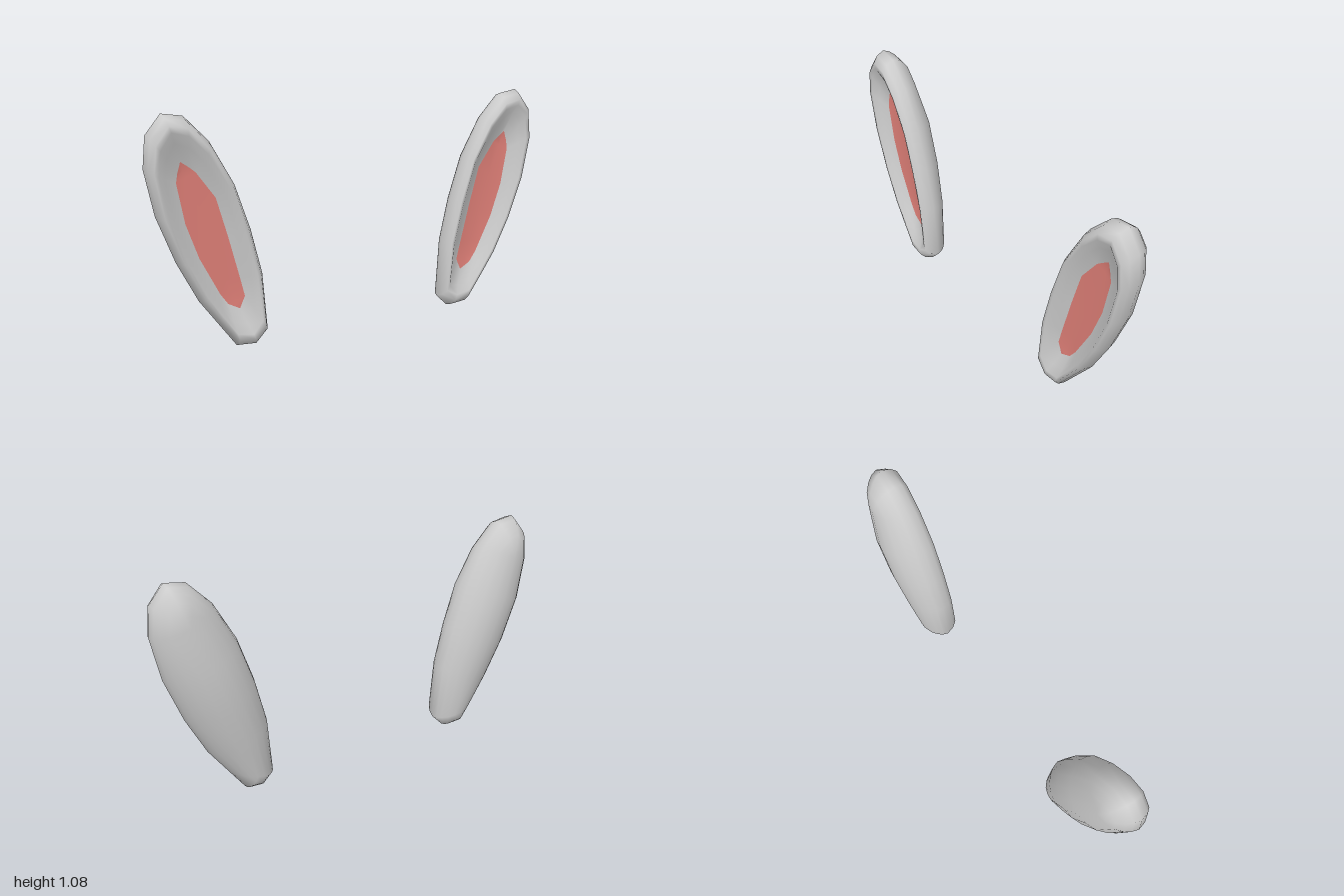
import * as THREE from 'three';
import { mergeVertices } from 'three/addons/utils/BufferGeometryUtils.js';

// Outer edge and inner patch of one ear as [x, y]; each side runs from base to tip
const OUTER = {
  near: [[0.53, 0.005], [0.47, 0.065], [0.49, 0.35], [0.54, 0.56], [0.61, 0.77], [0.71, 0.955], [0.82, 1.07]],
  far: [[0.615, 0.01], [0.70, 0.13], [0.785, 0.25], [0.88, 0.44], [0.96, 0.655], [1.0, 0.86], [0.985, 1.0]],
  tip: [0.915, 1.085],
};
const INNER = {
  near: [[0.60, 0.19], [0.575, 0.245], [0.595, 0.33], [0.645, 0.53], [0.695, 0.71], [0.78, 0.83], [0.81, 0.855]],
  far: [[0.655, 0.22], [0.69, 0.27], [0.72, 0.33], [0.78, 0.45], [0.835, 0.61], [0.867, 0.79], [0.86, 0.83]],
  tip: [0.845, 0.88],
};
const EDGE_Z = 0.035;

const loop = (o) => [...o.far, o.tip, ...[...o.near].reverse()];
const mix = (a, b, t) => a + (b - a) * t;
const outer = loop(OUTER), inner = loop(INNER);

// Ridge down the back: midpoints of opposite edge points, with a depth for each
const BACK_Z = [-0.055, -0.082, -0.102, -0.107, -0.08];
const spine = BACK_Z.map((z, k) => {
  const [a, b] = [OUTER.near[k + 1], OUTER.far[k + 1]];
  return [(a[0] + b[0]) / 2, (a[1] + b[1]) / 2, z];
});
const spineAt = (i) => spine[THREE.MathUtils.clamp(Math.min(i, 14 - i) - 1, 0, 4)];

// Joins equal-length rows of points into a smooth surface
function skin(rows, closed, side) {
  const n = rows[0].length, index = [];
  for (let r = 0; r < rows.length - 1; r++) {
    for (let i = 0; i < (closed ? n : n - 1); i++) {
      const j = (i + 1) % n;
      const a = r * n + i, b = r * n + j, c = a + n, d = b + n;
      if (side > 0) index.push(a, b, d, a, d, c);
      else index.push(a, d, b, a, c, d);
    }
  }
  const g = new THREE.BufferGeometry();
  const pos = rows.flat().flatMap(([x, y, z]) => [x * side, y, z]);
  g.setAttribute('position', new THREE.Float32BufferAttribute(pos, 3));
  g.setIndex(index);
  const merged = mergeVertices(g, 1e-4);
  merged.computeVertexNormals();
  return merged;
}

// Rounded back, rolled rim and sloping hollow, as rings around the ear
function shellRows() {
  const rows = [];
  for (const [t, depth] of [[0, 0], [0.07, 0.28], [0.2, 0.52], [0.42, 0.78], [0.7, 0.94], [1, 1]]) {
    rows.unshift(outer.map(([x, y], i) => {
      const s = spineAt(i);
      return [mix(x, s[0], t), mix(y, s[1], t), mix(EDGE_Z, s[2], depth)];
    }));
  }
  for (const [t, z] of [[0.08, 0.075], [0.22, 0.1], [0.36, 0.098], [0.6, 0.075], [1, 0.052]]) {
    rows.push(outer.map(([x, y], i) => [mix(x, inner[i][0], t), mix(y, inner[i][1], t), z]));
  }
  return rows;
}

// Shallow dished patch that fills the hollow
function patchRows() {
  return [0, 0.5, 1].map((t) => [
    ...INNER.far.map(([x, y], k) => {
      const p = INNER.near[k];
      return [mix(x, p[0], t), mix(y, p[1], t), t === 0.5 && k > 0 ? 0.045 : 0.052];
    }),
    [...INNER.tip, 0.052],
  ]);
}

export function createModel() {
  const grey = new THREE.MeshStandardMaterial({ color: 0xcccccc });
  const pink = new THREE.MeshStandardMaterial({ color: 0xe08078, side: THREE.DoubleSide });
  const model = new THREE.Group();
  model.name = 'earPair';
  for (const [name, side] of [['left', 1], ['right', -1]]) {
    const ear = new THREE.Group();
    ear.name = name + 'Ear';
    const shell = new THREE.Mesh(skin(shellRows(), true, side), grey);
    shell.name = name + 'EarShell';
    const patch = new THREE.Mesh(skin(patchRows(), false, -side), pink);
    patch.name = name + 'InnerEar';
    ear.add(shell, patch);
    model.add(ear);
  }
  return model;
}
